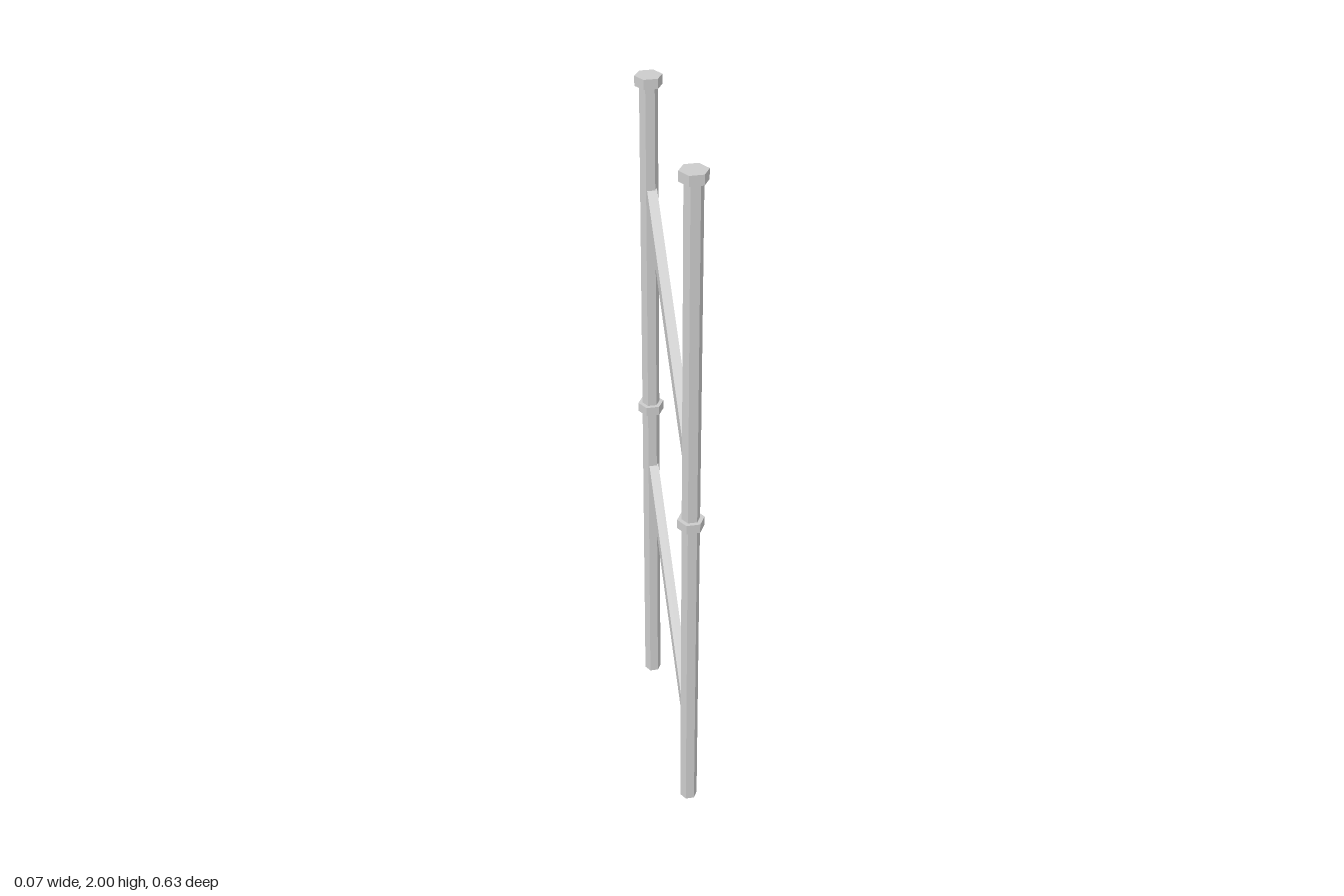
import * as THREE from 'three';

export function createModel() {
  const group = new THREE.Group();
  const material = new THREE.MeshStandardMaterial({ color: 0xcccccc, flatShading: true });

  const add = (name, geometry, x, y, z) => {
    const mesh = new THREE.Mesh(geometry, material);
    mesh.name = name;
    mesh.position.set(x, y, z);
    group.add(mesh);
  };

  // Six-sided bar with two corners on the x axis
  const hexBar = (radius, height) =>
    new THREE.CylinderGeometry(radius, radius, height, 6).rotateY(Math.PI / 2);

  // Front and back uprights, each with a middle and a top collar
  for (const [side, z] of [['front', 0.283], ['back', -0.283]]) {
    add(side + 'Post', hexBar(0.0245, 1.99), 0, 0.995, z);
    add(side + 'MiddleCollar', hexBar(0.0365, 0.027), 0, 1, z);
    add(side + 'TopCollar', hexBar(0.0365, 0.027), 0, 1.9865, z);
  }

  // Diagonal braces: bars sheared so that their ends stay upright
  const length = 0.53;
  const rise = 0.53;
  const brace = new THREE.BoxGeometry(0.027, 0.055, length);
  const p = brace.attributes.position;
  for (let i = 0; i < p.count; i++) p.setY(i, p.getY(i) - (p.getZ(i) / length) * rise);
  brace.computeVertexNormals();
  add('lowerBrace', brace, 0.004, 0.513, 0);
  add('upperBrace', brace, 0.004, 1.398, 0);

  return group;
}
